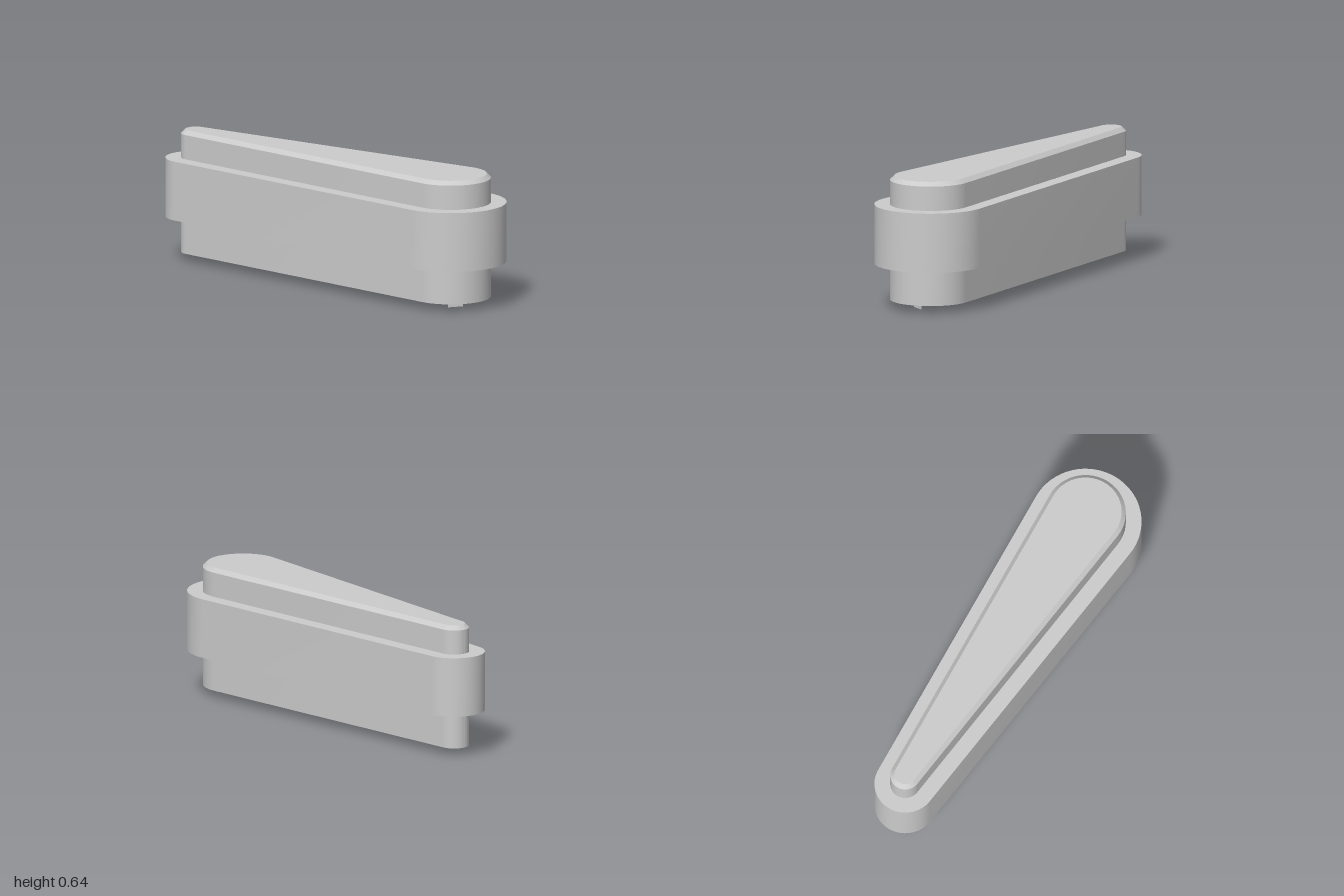
import * as THREE from 'three';
import { toCreasedNormals } from 'three/addons/utils/BufferGeometryUtils.js';

const FRONT_Z = 0.732, BACK_Z = -0.853; // centres of the two end arcs
const FRONT_R = 0.268, BACK_R = 0.147;  // outer radii
const SEGMENTS = 32;

// Teardrop outline: two arcs joined by their tangent lines, shrunk by inset
function outline(inset, y) {
  const tilt = Math.asin((FRONT_R - BACK_R) / (FRONT_Z - BACK_Z));
  const points = [];
  const arc = (z, r, from, to) => {
    for (let i = 0; i <= SEGMENTS; i++) {
      const a = from + (to - from) * i / SEGMENTS;
      points.push(new THREE.Vector3(r * Math.cos(a), y, z + r * Math.sin(a)));
    }
  };
  arc(FRONT_Z, FRONT_R - inset, -tilt, Math.PI + tilt);
  arc(BACK_Z, BACK_R - inset, Math.PI + tilt, 2 * Math.PI - tilt);
  return points;
}

// Shell through a stack of [inset, y] levels, open below, with an optional lid
function shell(levels, lid) {
  const rings = levels.map(([inset, y]) => outline(inset, y));
  const n = rings[0].length, top = rings[rings.length - 1];
  const centre = new THREE.Vector3(0, top[0].y, 0);
  const triangles = [];
  for (let i = 0; i < n; i++) {
    const j = (i + 1) % n;
    for (let k = 0; k < rings.length - 1; k++) {
      const lo = rings[k], hi = rings[k + 1];
      triangles.push(lo[i], hi[i], lo[j], hi[i], hi[j], lo[j]);
    }
    if (lid) triangles.push(centre, top[j], top[i]);
  }
  return toCreasedNormals(new THREE.BufferGeometry().setFromPoints(triangles), Math.PI / 6);
}

export function createModel() {
  const group = new THREE.Group();
  const material = new THREE.MeshStandardMaterial({ color: 0xcccccc, side: THREE.DoubleSide });
  const add = (name, geometry) => {
    const mesh = new THREE.Mesh(geometry, material);
    mesh.name = name;
    group.add(mesh);
    return mesh;
  };

  // Hollow body with a chamfered lid
  add('body', shell([[0.075, 0.039], [0.075, 0.618], [0.095, 0.638]], true));

  // Wide band around it, closed only by its top ledge
  add('band', shell([[0, 0.213], [0, 0.5], [0.075, 0.5]], false));

  // Small thin tab set diagonally under the wide end
  const tab = add('tab', new THREE.PlaneGeometry(0.077, 0.04));
  tab.position.set(-0.0335, 0.02, 0.792);
  tab.rotation.y = -Math.atan2(0.038, 0.067);

  return group;
}
